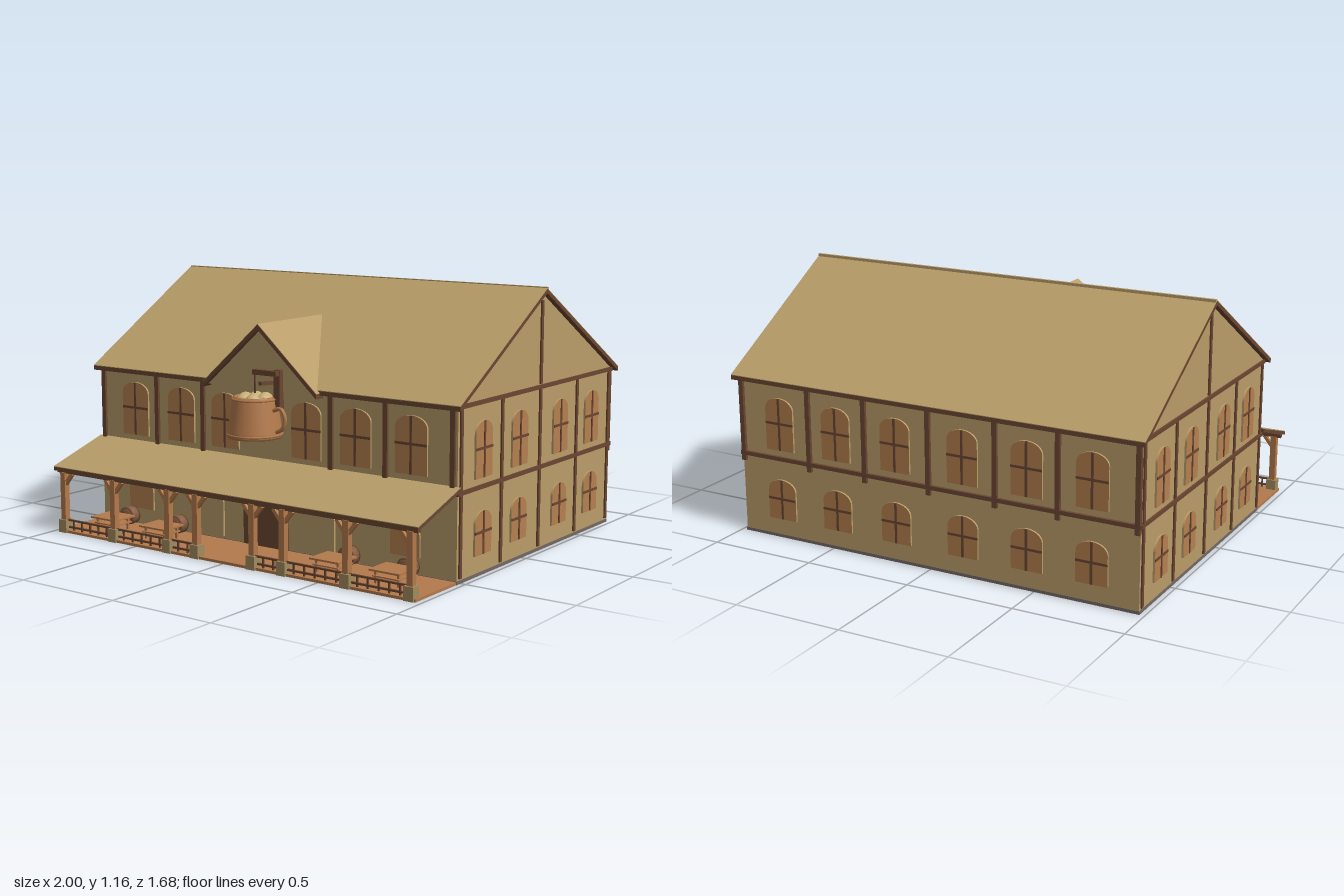
import * as THREE from 'three';

const mat = (name, color) => Object.assign(new THREE.MeshStandardMaterial({ color }), { name });

export function createModel() {
  const root = new THREE.Group();
  root.name = 'inn';
  const plaster = mat('plaster tan', 0xb99d69);
  const thatch = mat('roof straw', 0xb99d69);
  const timber = mat('dark timber', 0x6b4632);
  const wood = mat('warm wood', 0xb47a4c);
  const cask = mat('cask brown', 0x835c40);
  const glass = mat('amber glass', 0xb5804f);
  const stone = mat('stone', 0xa28c5f);
  const slate = mat('foundation grey', 0x746862);
  const foam = mat('foam cream', 0xc9af7a);

  const add = (name, geo, m, parent = root) => {
    const mesh = new THREE.Mesh(geo, m);
    mesh.name = name;
    parent.add(mesh);
    return mesh;
  };
  const box = (name, w, h, d, x, y, z, m, parent = root) => {
    const b = add(name, new THREE.BoxGeometry(w, h, d), m, parent);
    b.position.set(x, y, z);
    return b;
  };
  const extrude = (pts, depth) => new THREE.ExtrudeGeometry(
    new THREE.Shape(pts.map(p => new THREE.Vector2(...p))), { depth, bevelEnabled: false });
  // (z, y) outline swept along x, centred
  const profile = (name, pts, width, m) => {
    const g = extrude(pts, width).rotateY(-Math.PI / 2).translate(width / 2, 0, 0);
    return add(name, g, m);
  };
  // (x, y) outline swept along z
  const sweepZ = (name, pts, z0, z1, m) => add(name, extrude(pts, z1 - z0).translate(0, 0, z0), m);
  // square beam between two points
  const beam = (name, a, b, t, m, parent = root) => {
    const p = new THREE.Vector3(...a), q = new THREE.Vector3(...b);
    const s = box(name, t, t, p.distanceTo(q), 0, 0, 0, m, parent);
    s.position.copy(p).add(q).multiplyScalar(0.5);
    s.lookAt(q);
    return s;
  };
  // Low arched plate, its foot at y = 0, facing +z
  const arch = (w, h, rise, depth) => {
    const s = new THREE.Shape();
    s.moveTo(-w / 2, 0);
    s.lineTo(w / 2, 0);
    s.lineTo(w / 2, h - rise);
    s.absellipse(0, h - rise, w / 2, rise, 0, Math.PI, false);
    s.lineTo(-w / 2, 0);
    return new THREE.ExtrudeGeometry(s, { depth, bevelEnabled: false, curveSegments: 12 });
  };
  const windowAt = (x, y, z, turn, w, h, bars = true) => {
    const g = new THREE.Group();
    g.name = 'window';
    add('pane', arch(w, h, 0.05, 0.009), [glass, plaster], g);
    if (bars) {
      box('mullion', 0.011, h - 0.002, 0.006, 0, h / 2, 0.009, timber, g);
      box('transom', w, 0.011, 0.006, 0, h * 0.52, 0.009, timber, g);
    }
    g.position.set(x, y, z);
    g.rotation.y = turn;
    root.add(g);
  };

  // Foundation, walls and main roof
  box('foundation', 1.955, 0.014, 1.345, 0, 0.007, -0.14, slate);
  profile('walls', [[0.53, 0.012], [0.53, 0.734], [-0.14, 1.134], [-0.81, 0.734], [-0.81, 0.012]], 1.95, plaster);
  const roofBand = (lo, hi) => [[0.556, 0.735 + lo], [0.556, 0.735 + hi], [-0.14, 1.15 + hi],
    [-0.842, 0.735 + hi], [-0.842, 0.735 + lo], [-0.14, 1.15 + lo]];
  profile('roof', roofBand(0, 0.003), 2, thatch);
  profile('roofBoards', roofBand(-0.019, 0), 2, timber);
  box('ridgeCap', 1.998, 0.014, 0.014, 0, 1.15, -0.147, thatch);

  // Front and back timber framing
  for (const x of [-0.955, -0.625, -0.352, 0.352, 0.63, 0.955])
    box('frontPost', 0.022, 0.33, 0.02, x, 0.56, 0.532, timber);
  for (const x of [-0.965, -0.61, -0.32, 0, 0.32, 0.61, 0.965])
    box('backPost', 0.022, 0.38, 0.02, x, 0.53, -0.814, timber);
  box('frontEaveBeam', 1.96, 0.02, 0.02, 0, 0.725, 0.532, timber);
  box('backEaveBeam', 1.96, 0.02, 0.02, 0, 0.725, -0.814, timber);
  box('backMidBeam', 1.96, 0.018, 0.02, 0, 0.375, -0.814, timber);
  for (const s of [-1, 1]) {
    for (const x of [0.757, 0.48, 0.223]) windowAt(s * x, 0.43, 0.53, 0, 0.155, 0.245);
    for (const x of [0.765, 0.468, 0.165]) {
      windowAt(s * x, 0.413, -0.81, Math.PI, 0.145, 0.24);
      windowAt(s * x, 0.09, -0.81, Math.PI, 0.145, 0.185);
    }
  }

  // Gable sides
  for (const s of [-1, 1]) {
    for (const z of [0.508, 0.185, -0.14, -0.478, -0.79])
      box('sidePost', 0.02, 0.7, 0.018, s * 0.972, 0.372, z, timber);
    box('gablePost', 0.02, 0.36, 0.018, s * 0.972, 0.92, -0.14, timber);
    for (const y of [0.375, 0.727])
      box('sideBeam', 0.022, 0.018, 1.35, s * 0.972, y, -0.14, timber);
    for (const z of [0.337, 0.04, -0.32, -0.618]) {
      windowAt(s * 0.975, 0.413, z, s * Math.PI / 2, 0.13, 0.238);
      windowAt(s * 0.975, 0.09, z, s * Math.PI / 2, 0.13, 0.185);
    }
  }

  // Dormer over the entrance
  const chevron = (lo, hi) => [[-0.31, 0.724 + lo], [0, 0.997 + lo], [0.31, 0.724 + lo],
    [0.31, 0.724 + hi], [0, 0.997 + hi], [-0.31, 0.724 + hi]].reverse();
  sweepZ('dormerRoof', chevron(0, 0.003), 0.1, 0.582, thatch);
  sweepZ('dormerBoards', chevron(-0.022, 0), 0.1, 0.583, timber);
  sweepZ('dormerGable', [[-0.3, 0.714], [0.3, 0.714], [0, 0.98]], 0.5, 0.561, plaster);

  // Porch: floor, door, lean-to roof
  box('porchFloor', 1.95, 0.012, 0.302, 0, 0.006, 0.681, wood);
  profile('porchRoof', [[0.53, 0.402], [0.53, 0.405], [0.84, 0.305], [0.84, 0.302]], 1.98, thatch);
  profile('porchRoofBoards', [[0.53, 0.386], [0.53, 0.402], [0.84, 0.302], [0.84, 0.286]], 1.98, timber);
  box('porchBeam', 1.96, 0.018, 0.022, 0, 0.285, 0.815, timber);
  add('door', arch(0.245, 0.268, 0.06, 0.008), timber).position.set(0, 0.012, 0.53);
  for (const s of [-1, 1]) {
    windowAt(s * 0.73, 0.085, 0.53, 0, 0.145, 0.14, false);
    add('shutter', arch(0.135, 0.2, 0.05, 0.009), plaster).position.set(s * 0.305, 0.025, 0.53);
  }

  // Porch posts with footings and braces
  const posts = [0.155, 0.315, 0.637, 0.945];
  for (const s of [-1, 1]) {
    posts.forEach((px, i) => {
      const x = s * px;
      box('footing', 0.046, 0.06, 0.044, x, 0.03, 0.817, stone);
      box('porchPost', 0.028, 0.22, 0.028, x, 0.17, 0.817, wood);
      for (const d of [-1, 1]) {
        if (i === 3 && d === s) continue;
        beam('brace', [x, 0.215, 0.817], [x + d * 0.05, 0.276, 0.817], 0.016, wood);
      }
    });
    // Railings between the posts
    for (let i = 0; i < 3; i++) {
      const a = posts[i], w = posts[i + 1] - a, c = s * (a + w / 2);
      for (const y of [0.026, 0.058]) box('rail', w, 0.008, 0.01, c, y, 0.817, timber);
      const n = Math.round(w / 0.05);
      for (let k = 1; k < n; k++)
        box('baluster', 0.007, 0.046, 0.007, s * (a + w * k / n), 0.035, 0.817, timber);
    }
    // Tables with a lower shelf, and barrels
    for (const px of [0.475, 0.772]) {
      const set = new THREE.Group();
      set.name = 'seating';
      set.position.set(s * px, 0.012, 0);
      root.add(set);
      box('tableTop', 0.15, 0.008, 0.13, 0, 0.058, 0.688, wood, set);
      box('tableShelf', 0.13, 0.006, 0.11, 0, 0.032, 0.688, wood, set);
      for (const x of [-0.055, 0.055])
        for (const z of [0.648, 0.728]) box('tableLeg', 0.01, 0.056, 0.01, x, 0.028, z, wood, set);
      const stave = [[0, -0.03], [0.036, -0.03], [0.042, -0.012], [0.042, 0.012], [0.036, 0.03], [0, 0.03]];
      const barrel = add('barrel', new THREE.LatheGeometry(stave.map(p => new THREE.Vector2(...p)), 16)
        .rotateX(Math.PI / 2), cask, set);
      barrel.position.set(0, 0.043, 0.575);
      for (const z of [-0.024, 0.024])
        add('hoop', new THREE.TorusGeometry(0.038, 0.004, 6, 16).translate(0, 0, z), timber, barrel);
    }
  }

  // Hanging tankard sign
  const sign = new THREE.Group();
  sign.name = 'tankardSign';
  sign.position.set(0, 0, 0.605);
  root.add(sign);
  const cup = [[0, 0.515], [0.118, 0.515], [0.121, 0.525], [0.119, 0.545], [0.096, 0.68], [0.094, 0.692],
    [0.084, 0.692], [0.084, 0.672], [0, 0.672]];
  add('tankard', new THREE.LatheGeometry(cup.map(p => new THREE.Vector2(...p)), 24), wood, sign);
  for (const [r, y] of [[0.119, 0.53], [0.097, 0.682]])
    add('tankardBand', new THREE.TorusGeometry(r, 0.005, 6, 24).rotateX(Math.PI / 2).translate(0, y, 0), wood, sign);
  const grip = new THREE.CatmullRomCurve3([[0.1, 0.638], [0.14, 0.648], [0.163, 0.61], [0.15, 0.565], [0.112, 0.545]]
    .map(p => new THREE.Vector3(p[0], p[1], 0)));
  add('handle', new THREE.TubeGeometry(grip, 16, 0.009, 8), wood, sign);
  for (let i = 0; i < 7; i++) {
    const a = i * Math.PI / 3, r = i < 6 ? 0.05 : 0;
    add('foam', new THREE.SphereGeometry(0.036, 12, 8), foam, sign)
      .position.set(r * Math.cos(a), 0.67, r * Math.sin(a));
  }

  // Bracket and rope
  box('bracketPost', 0.032, 0.17, 0.03, 0.104, 0.725, -0.033, timber, sign);
  box('bracketArm', 0.125, 0.022, 0.026, 0.058, 0.797, -0.003, timber, sign);
  beam('bracketBrace', [0.02, 0.787, -0.01], [0.1, 0.715, -0.033], 0.016, timber, sign);
  box('rope', 0.006, 0.1, 0.006, 0.003, 0.742, 0, timber, sign);
  return root;
}
